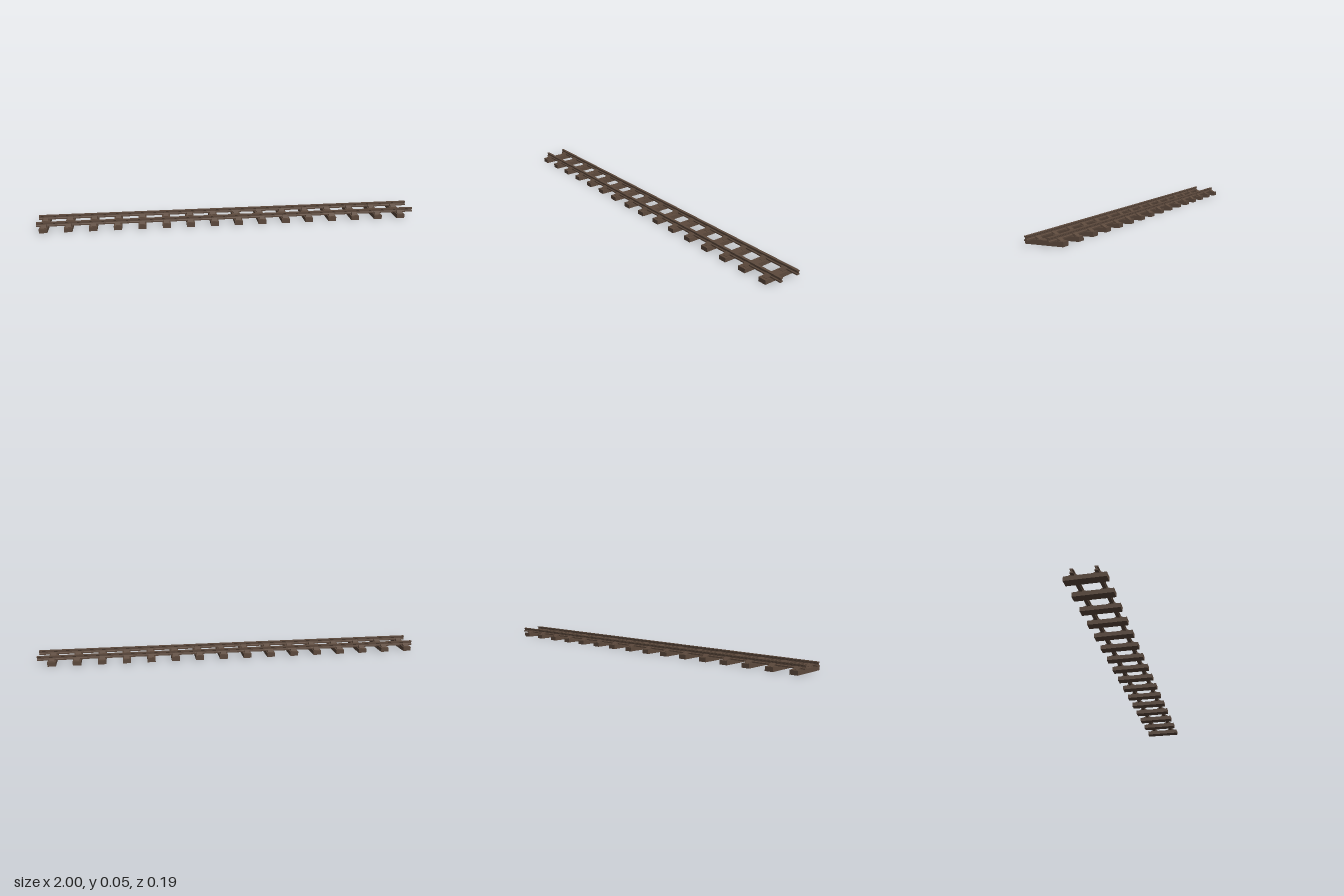
import * as THREE from 'three';

const brown = new THREE.MeshStandardMaterial({ color: 0x5c493c });
brown.name = 'weatheredBrown';

// Extrudes a (z, y) outline along x, centred on x = 0
function extrudeAlongX(points, length) {
  const shape = new THREE.Shape(points.map(([z, y]) => new THREE.Vector2(-z, y)));
  const geometry = new THREE.ExtrudeGeometry(shape, { depth: length, bevelEnabled: false });
  geometry.translate(0, 0, -length / 2);
  geometry.rotateY(Math.PI / 2);
  return geometry;
}

// Closes a half outline by mirroring it across z = 0
const mirrored = (half) => [...half, ...half.map(([z, y]) => [-z, y]).reverse()];

export function createModel() {
  const track = new THREE.Group();
  track.name = 'railwayTrack';

  const gauge = 0.053;
  const sleeperCount = 16;
  const firstX = -0.963;
  const spacing = 0.1259;

  const add = (name, geometry, x, y, z) => {
    const mesh = new THREE.Mesh(geometry, brown);
    mesh.name = name;
    mesh.position.set(x, y, z);
    track.add(mesh);
  };

  // Rail section: foot, web and head
  const railGeometry = extrudeAlongX(mirrored([
    [0.008, 0.023], [0.008, 0.029], [0.003, 0.032],
    [0.003, 0.038], [0.007, 0.04], [0.007, 0.045],
  ]), 2);

  // Sloping chair that holds the rail on a sleeper
  const chairGeometry = extrudeAlongX(mirrored([
    [0.028, 0.02], [0.028, 0.0225], [0.008, 0.034],
  ]), 0.028);

  const sleeperGeometry = new THREE.BoxGeometry(0.042, 0.0215, 0.187);

  for (const side of [-1, 1]) {
    add(side > 0 ? 'frontRail' : 'backRail', railGeometry, 0, 0, side * gauge);
  }

  for (let i = 0; i < sleeperCount; i++) {
    const x = firstX + i * spacing;
    add('sleeper', sleeperGeometry, x, 0.01075, 0);
    for (const side of [-1, 1]) add('railChair', chairGeometry, x, 0, side * gauge);
  }

  return track;
}
